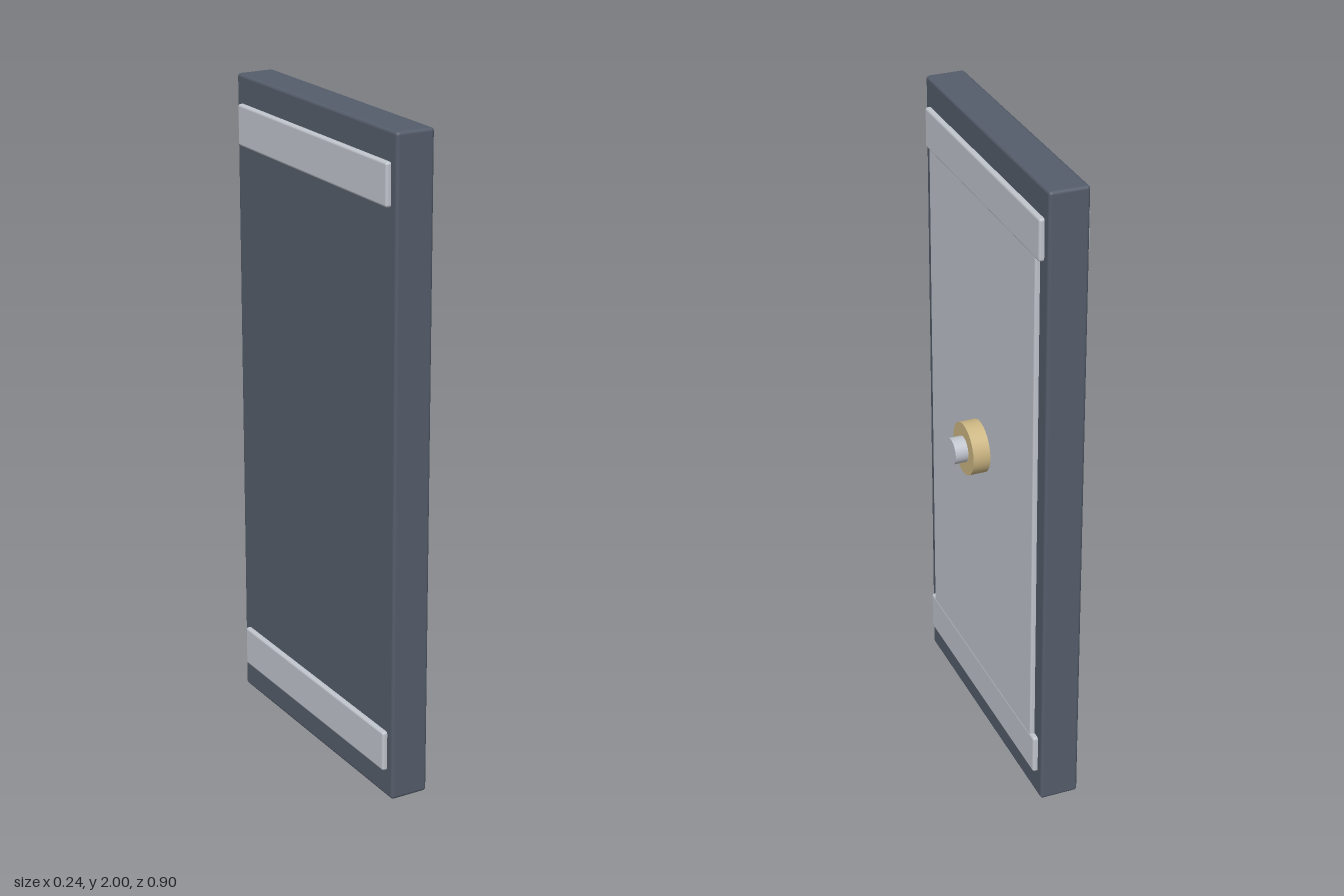
import * as THREE from 'three';
import { RoundedBoxGeometry } from 'three/addons/geometries/RoundedBoxGeometry.js';

const material = (name, color) => {
  const m = new THREE.MeshStandardMaterial({ color });
  m.name = name;
  return m;
};

export function createModel() {
  const model = new THREE.Group();
  model.name = 'doorPanel';
  const slate = material('slate', 0x555d6b);
  const silver = material('silver', 0xc0c4cc);
  const brass = material('brass', 0xccb683);

  const add = (name, geometry, mat, x, y) => {
    const mesh = new THREE.Mesh(geometry, mat);
    mesh.name = name;
    mesh.position.set(x, y, 0);
    model.add(mesh);
  };
  // Disc along x, from x0 to x1
  const disc = (name, radius, x0, x1, mat) => {
    const geometry = new THREE.CylinderGeometry(radius, radius, x1 - x0, 48);
    geometry.rotateZ(-Math.PI / 2);
    add(name, geometry, mat, (x0 + x1) / 2, 1);
  };

  // Thick upright slab
  add('slab', new RoundedBoxGeometry(0.12, 2, 0.905, 3, 0.01), slate, -0.047, 1);

  // Cover plate on the +x face
  add('coverPlate', new RoundedBoxGeometry(0.03, 1.82, 0.794, 3, 0.006), silver, 0.012, 1);

  // Straps wrapping both faces near the top and bottom
  for (const [name, y] of [['lowerStrap', 0.149], ['upperStrap', 1.851]]) {
    add(name, new RoundedBoxGeometry(0.15, 0.126, 0.848, 3, 0.008), silver, -0.047, y);
  }

  // Round boss with a centre pin
  disc('boss', 0.081, 0.02, 0.08, brass);
  disc('pin', 0.04, 0.075, 0.12, silver);

  return model;
}
